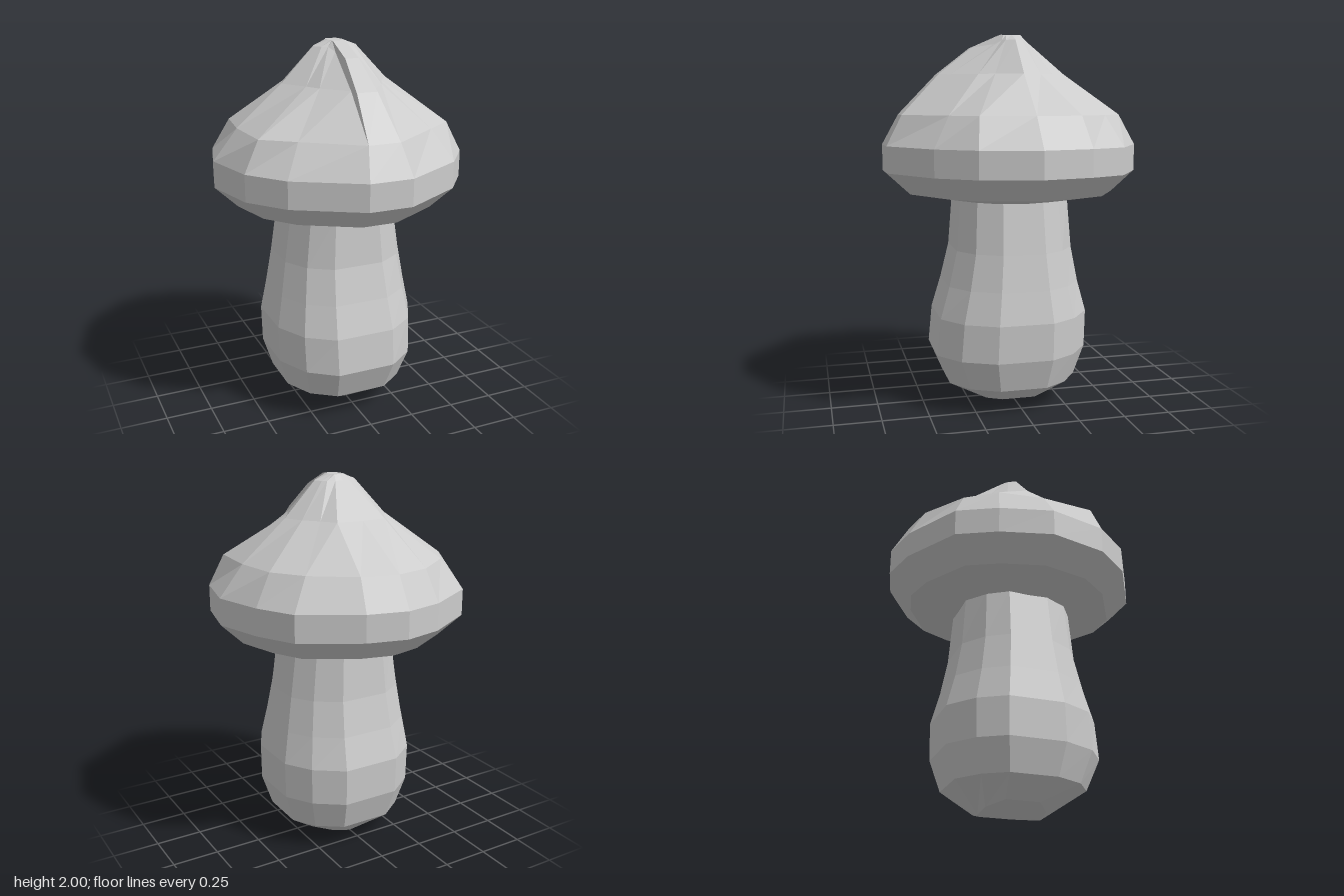
import * as THREE from 'three';

const material = new THREE.MeshStandardMaterial({ color: 0xcccccc, flatShading: true });

// Full ring from one half, listed from front (+z) round the left side to the back.
// Points are [x, z] with a shared height, or [x, z, y].
function ring(y, half) {
  const left = half.map(([x, z, py = y]) => new THREE.Vector3(x, py, z));
  const right = left.filter(p => p.x > 0).reverse().map(p => new THREE.Vector3(-p.x, p.y, p.z));
  return [...left, ...right];
}

const scaled = (half, s) => half.map(([x, z]) => [x * s, z * s]);

// Faceted skin through rings from bottom to top, closed by a fan at each end.
function loft(name, rings, bottom, top) {
  const pos = [];
  const tri = (a, b, c) => {
    const area = b.clone().sub(a).cross(c.clone().sub(a)).length();
    if (area > 1e-7) pos.push(...a.toArray(), ...b.toArray(), ...c.toArray());
  };
  const n = rings[0].length;
  for (let i = 0; i < n; i++) {
    const j = (i + 1) % n;
    for (let r = 0; r < rings.length - 1; r++) {
      const a = rings[r], b = rings[r + 1];
      tri(a[i], a[j], b[j]);
      tri(a[i], b[j], b[i]);
    }
    const last = rings[rings.length - 1];
    tri(rings[0][j], rings[0][i], bottom);
    tri(last[i], last[j], top);
  }
  const geometry = new THREE.BufferGeometry();
  geometry.setAttribute('position', new THREE.Float32BufferAttribute(pos, 3));
  geometry.computeVertexNormals();
  const mesh = new THREE.Mesh(geometry, material);
  mesh.name = name;
  return mesh;
}

// Twelve-sided stem: [height, half width, front depth, back depth]
function createStem() {
  const levels = [
    [0.135, 0.34, 0.37, 0.33],
    [0.3, 0.39, 0.44, 0.385],
    [0.5, 0.395, 0.42, 0.39],
    [0.67, 0.365, 0.37, 0.345],
    [0.86, 0.335, 0.325, 0.31],
    [1.14, 0.295, 0.305, 0.29],
  ];
  // The foot comes to a shallow keel along the middle
  const foot = ring(0, [
    [0.005, 0.17, 0], [0.1, 0.16, 0.02], [0.2, 0.09, 0.04],
    [0.2, -0.09, 0.04], [0.1, -0.16, 0.02], [0.005, -0.17, 0],
  ]);
  const rings = levels.map(([y, w, f, b]) => ring(y, [
    [w * 0.41, f], [w * 0.78, f * 0.76], [w, f * 0.36],
    [w, -b * 0.36], [w * 0.78, -b * 0.72], [w * 0.4, -b],
  ]));
  return loft('stem', [foot, ...rings], new THREE.Vector3(0, 0, 0), new THREE.Vector3(0, 1.14, 0));
}

// Cap with a raised front ridge; the doubled second point forms the ridge wall
function createCap() {
  const rim = [
    [0.115, 0.685], [0.115, 0.685], [0.45, 0.49], [0.6, 0.3], [0.67, 0],
    [0.6, -0.27], [0.5, -0.47], [0.21, -0.64], [0, -0.69],
  ];
  const shoulder = [
    [0.085, 0.6], [0.085, 0.6], [0.36, 0.4], [0.52, 0.28], [0.54, 0],
    [0.51, -0.24], [0.4, -0.4], [0.19, -0.555], [0, -0.6],
  ];
  const crown = [
    [0.055, 0.4], [0.058, 0.34], [0.17, 0.21], [0.21, 0.13], [0.295, 0],
    [0.25, -0.1], [0.19, -0.18], [0.14, -0.26], [0, -0.275],
  ];
  const peak = [
    [0.036, 0.22, 1.93], [0.038, 0.1, 1.95], [0.06, 0.06], [0.09, 0.045], [0.12, 0],
    [0.1, -0.04], [0.08, -0.06], [0.04, -0.075], [0, -0.08],
  ];
  const tip = [
    [0.035, 0.06], [0.035, 0.055], [0.035, 0.045], [0.038, 0.03], [0.04, 0],
    [0.038, -0.02], [0.035, -0.035], [0.03, -0.05], [0, -0.055],
  ];
  const rings = [
    ring(1.12, scaled(rim, 0.43)),
    ring(1.165, scaled(rim, 0.82)),
    ring(1.28, rim),
    ring(1.42, rim),
    ring(1.58, shoulder),
    ring(1.79, crown),
    ring(1.97, peak),
    ring(2, tip),
  ];
  return loft('cap', rings, new THREE.Vector3(0, 1.12, 0), new THREE.Vector3(0, 2, 0));
}

export function createModel() {
  const group = new THREE.Group();
  group.name = 'mushroom';
  group.add(createStem(), createCap());
  return group;
}
